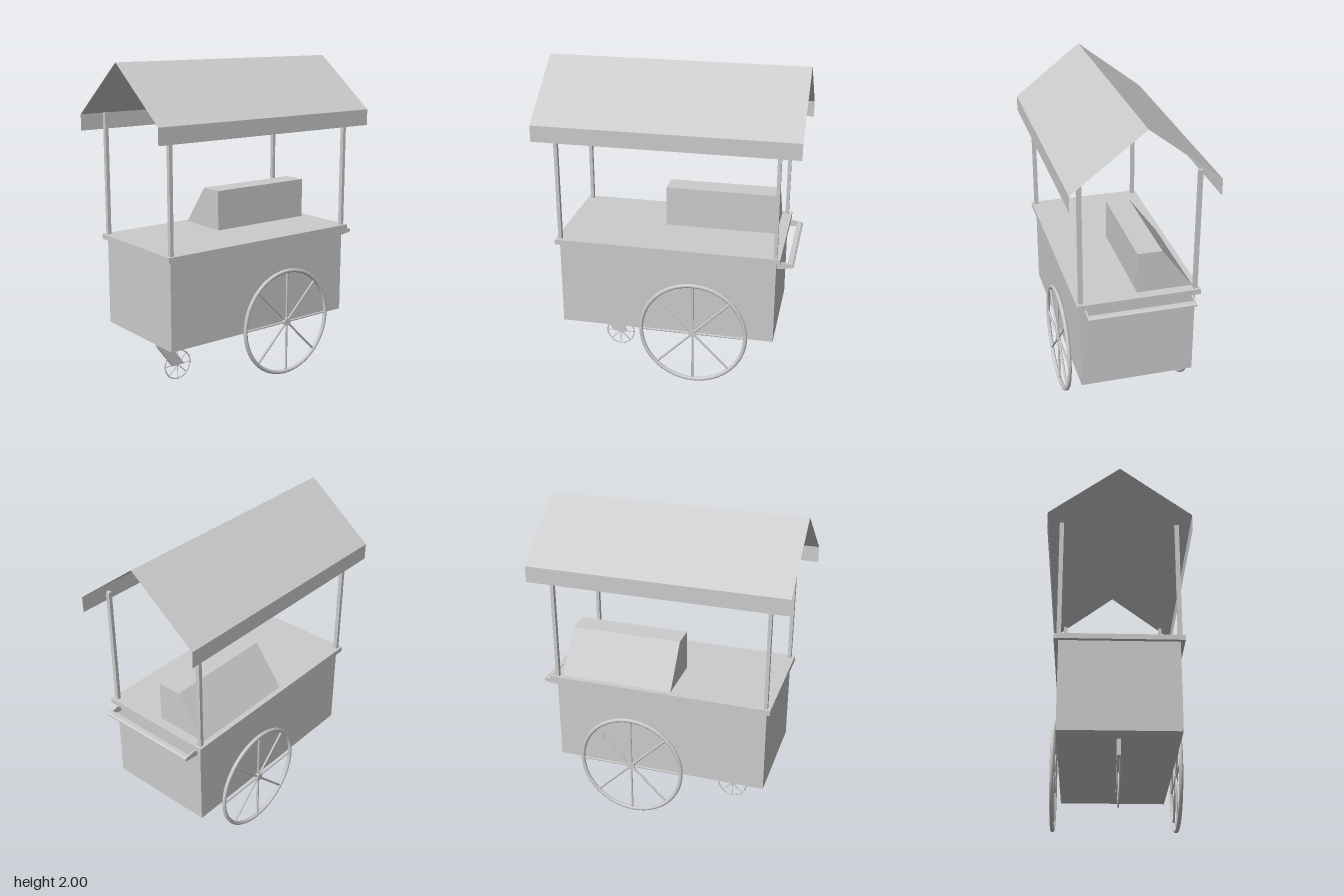
import * as THREE from 'three';

const grey = new THREE.MeshStandardMaterial({ color: 0xcccccc });
const sheet = new THREE.MeshStandardMaterial({ color: 0xcccccc, side: THREE.DoubleSide });

function add(parent, name, geometry, x = 0, y = 0, z = 0, material = grey) {
  const mesh = new THREE.Mesh(geometry, material);
  mesh.name = name;
  mesh.position.set(x, y, z);
  parent.add(mesh);
  return mesh;
}

// Box given by its minimum and maximum corners
function box(parent, name, [x0, y0, z0], [x1, y1, z1]) {
  return add(parent, name, new THREE.BoxGeometry(x1 - x0, y1 - y0, z1 - z0),
    (x0 + x1) / 2, (y0 + y1) / 2, (z0 + z1) / 2);
}

// Side outline in x/y, extruded from z0 to z1
function plate(parent, name, points, z0, z1) {
  const shape = new THREE.Shape(points.map(p => new THREE.Vector2(...p)));
  const geometry = new THREE.ExtrudeGeometry(shape, { depth: z1 - z0, bevelEnabled: false });
  return add(parent, name, geometry, 0, 0, z0);
}

// Spoked wheel in the x/y plane
function wheel(parent, name, x, y, z, radius, tube, spokeRadius, hubRadius) {
  const group = new THREE.Group();
  group.name = name;
  group.position.set(x, y, z);
  parent.add(group);
  add(group, 'rim', new THREE.TorusGeometry(radius - tube, tube, 12, 72));
  const hub = add(group, 'hub', new THREE.CylinderGeometry(hubRadius, hubRadius, tube * 2, 20));
  hub.rotation.x = Math.PI / 2;
  for (let i = 0; i < 4; i++) {
    const spoke = add(group, 'spoke',
      new THREE.CylinderGeometry(spokeRadius, spokeRadius, 2 * (radius - tube), 8));
    spoke.rotation.z = i * Math.PI / 4;
  }
}

export function createModel() {
  const cart = new THREE.Group();
  cart.name = 'vendingCart';

  // Body and counter
  box(cart, 'body', [-0.678, 0.345, -0.348], [0.673, 0.89, 0.348]);
  box(cart, 'counter', [-0.703, 0.89, -0.374], [0.698, 0.922, 0.374]);

  // Display case, sloping down to the back
  const profile = new THREE.Shape([[0, 0.922], [0.34, 0.922], [0.15, 1.177], [0, 1.177]]
    .map(p => new THREE.Vector2(...p)));
  const display = new THREE.ExtrudeGeometry(profile, { depth: 0.71, bevelEnabled: false });
  display.rotateY(Math.PI / 2);
  add(cart, 'displayCase', display, -0.075);

  // Canopy posts
  for (const x of [-0.672, 0.667]) {
    for (const z of [-0.346, 0.346]) {
      box(cart, 'canopyPost', [x - 0.011, 0.922, z - 0.013], [x + 0.011, 1.68, z + 0.013]);
    }
  }

  // Thin gabled canopy with hanging edges, folded from a strip
  const fold = [[0.427, 1.572], [0.427, 1.672], [0, 2], [-0.427, 1.672], [-0.427, 1.572]];
  const canopy = new THREE.PlaneGeometry(1.596, 1, 1, 4);
  const pos = canopy.attributes.position;
  for (let i = 0; i < pos.count; i++) {
    const [z, y] = fold[4 - Math.floor(i / 2)];
    pos.setY(i, y);
    pos.setZ(i, z);
  }
  const canopyFlat = canopy.toNonIndexed();
  canopyFlat.computeVertexNormals();
  add(cart, 'canopy', canopyFlat, 0, 0, 0, sheet);

  // Large side wheels
  for (const z of [-0.384, 0.384]) {
    wheel(cart, 'sideWheel', 0.175, 0.367, z, 0.344, 0.0125, 0.007, 0.024);
  }

  // Small caster wheel in its forked bracket
  wheel(cart, 'casterWheel', -0.4, 0.098, 0, 0.098, 0.004, 0.003, 0.008);
  plate(cart, 'casterStem',
    [[-0.555, 0.345], [-0.555, 0.25], [-0.47, 0.25], [-0.47, 0.345]], -0.012, 0.012);
  const prong = [[-0.555, 0.25], [-0.445, 0.098], [-0.355, 0.098], [-0.47, 0.25]];
  plate(cart, 'casterProng', prong, 0.006, 0.012);
  plate(cart, 'casterProng', prong, -0.012, -0.006);

  // Push handle: two tapered brackets and a crossbar
  const bracket = [[0.672, 0.84], [0.735, 0.848], [0.765, 0.853], [0.775, 0.859],
    [0.775, 0.869], [0.765, 0.876], [0.735, 0.88], [0.672, 0.89]];
  for (const z of [-0.322, 0.322]) {
    plate(cart, 'handleBracket', bracket, z - 0.005, z + 0.005);
  }
  plate(cart, 'handleBar', [[0.738, 0.852], [0.765, 0.853], [0.775, 0.859],
    [0.775, 0.869], [0.765, 0.876], [0.738, 0.876]], -0.32, 0.32);

  return cart;
}
